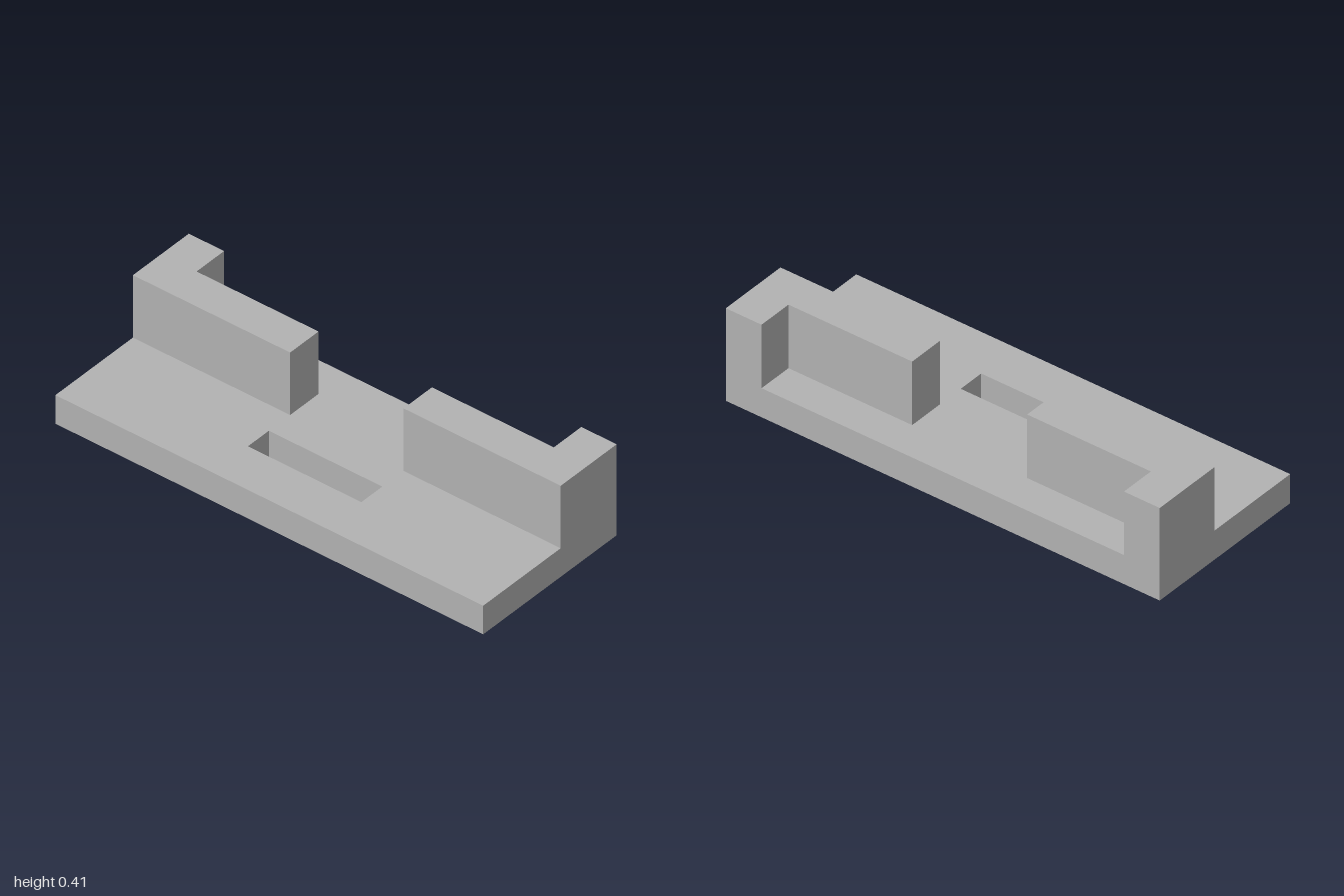
import * as THREE from 'three';

const BASE_TOP = 0.13, WALL_TOP = 0.414;
const BACK = -0.383, FRONT = 0.383;

// Outline points are [x, z] on the ground plane
const toPoints = (outline) => outline.map(([x, z]) => new THREE.Vector2(x, -z));

const rectangle = (x0, x1, z0, z1) => [[x0, z1], [x1, z1], [x1, z0], [x0, z0]];

// Raises a ground-plane shape from y0 to y1
function raise(name, shape, y0, y1, material) {
  const geometry = new THREE.ExtrudeGeometry(shape, { depth: y1 - y0, bevelEnabled: false });
  geometry.rotateX(-Math.PI / 2).translate(0, y0, 0);
  const mesh = new THREE.Mesh(geometry, material);
  mesh.name = name;
  return mesh;
}

export function createModel() {
  const group = new THREE.Group();
  group.name = 'slottedBracket';
  const grey = new THREE.MeshStandardMaterial({ color: 0xb2b2b2 });
  grey.name = 'plain grey';

  // Base plate with a through slot
  const plate = new THREE.Shape(toPoints(rectangle(-1, 1, BACK, FRONT)));
  plate.holes.push(new THREE.Path(toPoints(rectangle(-0.265, 0.265, 0.06, 0.18))));
  group.add(raise('basePlate', plate, 0, BASE_TOP, grey));

  // Mirrored L-shaped walls, each returning to the back edge at its outer end
  for (const [name, side] of [['leftWall', 1], ['rightWall', -1]]) {
    const outline = [
      [0.265, -0.062], [1, -0.062], [1, BACK],
      [0.835, BACK], [0.835, -0.225], [0.265, -0.225],
    ].map(([x, z]) => [side * x, z]);
    group.add(raise(name, new THREE.Shape(toPoints(outline)), BASE_TOP, WALL_TOP, grey));
  }
  return group;
}
